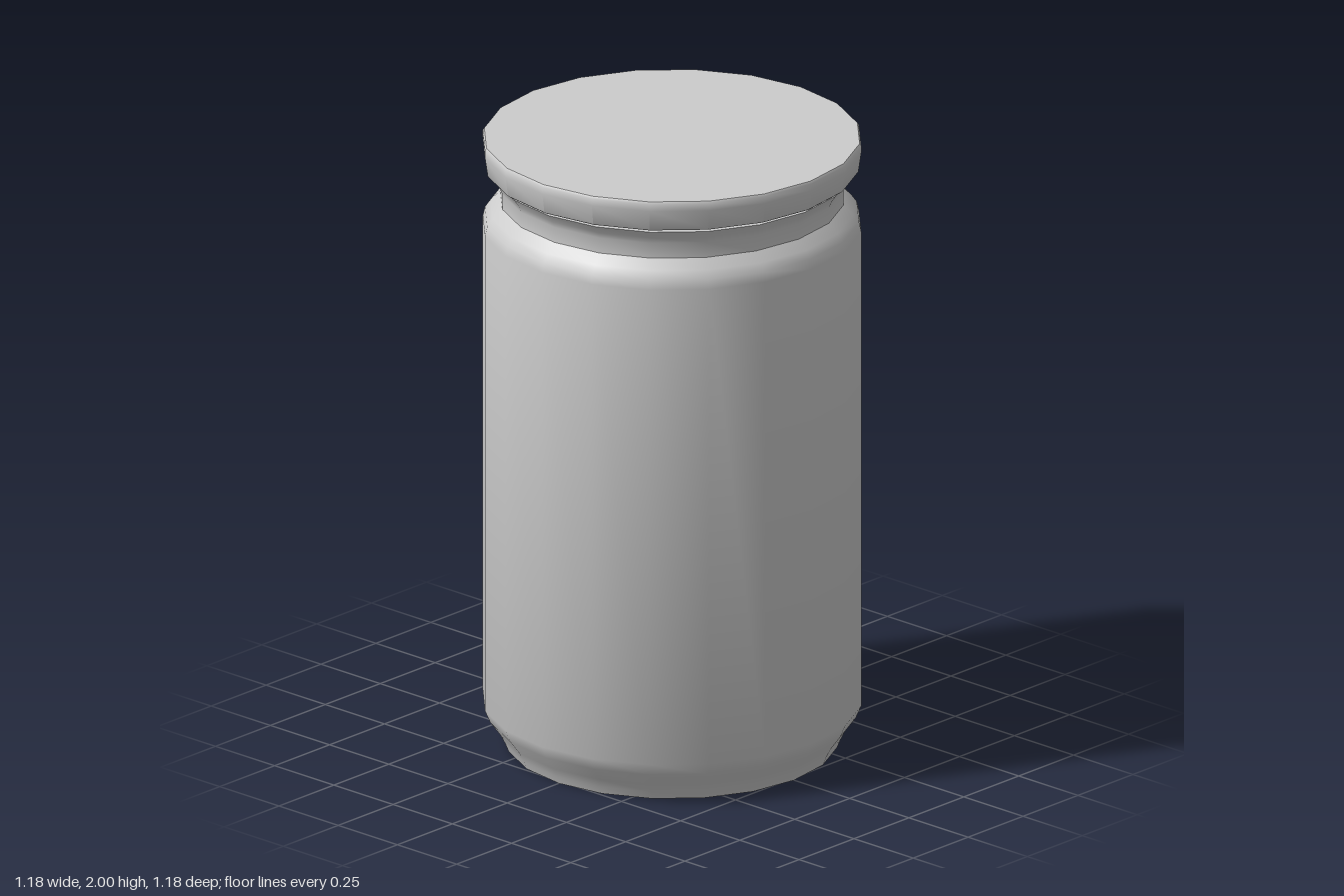
import * as THREE from 'three';
import { toCreasedNormals } from 'three/addons/utils/BufferGeometryUtils.js';

const SIDES = 20;

// Turns a list of [radius, height] points, bottom to top, into a mesh with crisp rims
function turned(name, profile, material) {
  const points = profile.map(([r, y]) => new THREE.Vector2(r, y));
  const geometry = toCreasedNormals(new THREE.LatheGeometry(points, SIDES), 0.75);
  const mesh = new THREE.Mesh(geometry, material);
  mesh.name = name;
  return mesh;
}

export function createModel() {
  const grey = new THREE.MeshStandardMaterial({ color: 0xcccccc });
  grey.name = 'light grey';

  const model = new THREE.Group();
  model.name = 'jar';

  // Body: narrow foot, straight wall, rounded shoulder, pinched neck and flared rim
  model.add(turned('jarBody', [
    [0, 0], [0.515, 0], [0.525, 0.025], [0.54, 0.055], [0.573, 0.1], [0.59, 0.14],
    [0.59, 1.71], [0.583, 1.74], [0.565, 1.765], [0.535, 1.795],
    [0.535, 1.845], [0.543, 1.865], [0.56, 1.89],
    [0.53, 1.892], [0.53, 1.91], [0, 1.91],
  ], grey));

  // Lid: shallow disc, slightly tapered towards its lower edge
  model.add(turned('lid', [
    [0, 1.902], [0.575, 1.902], [0.581, 1.907], [0.59, 1.97],
    [0.59, 1.993], [0.585, 2], [0, 2],
  ], grey));

  return model;
}
